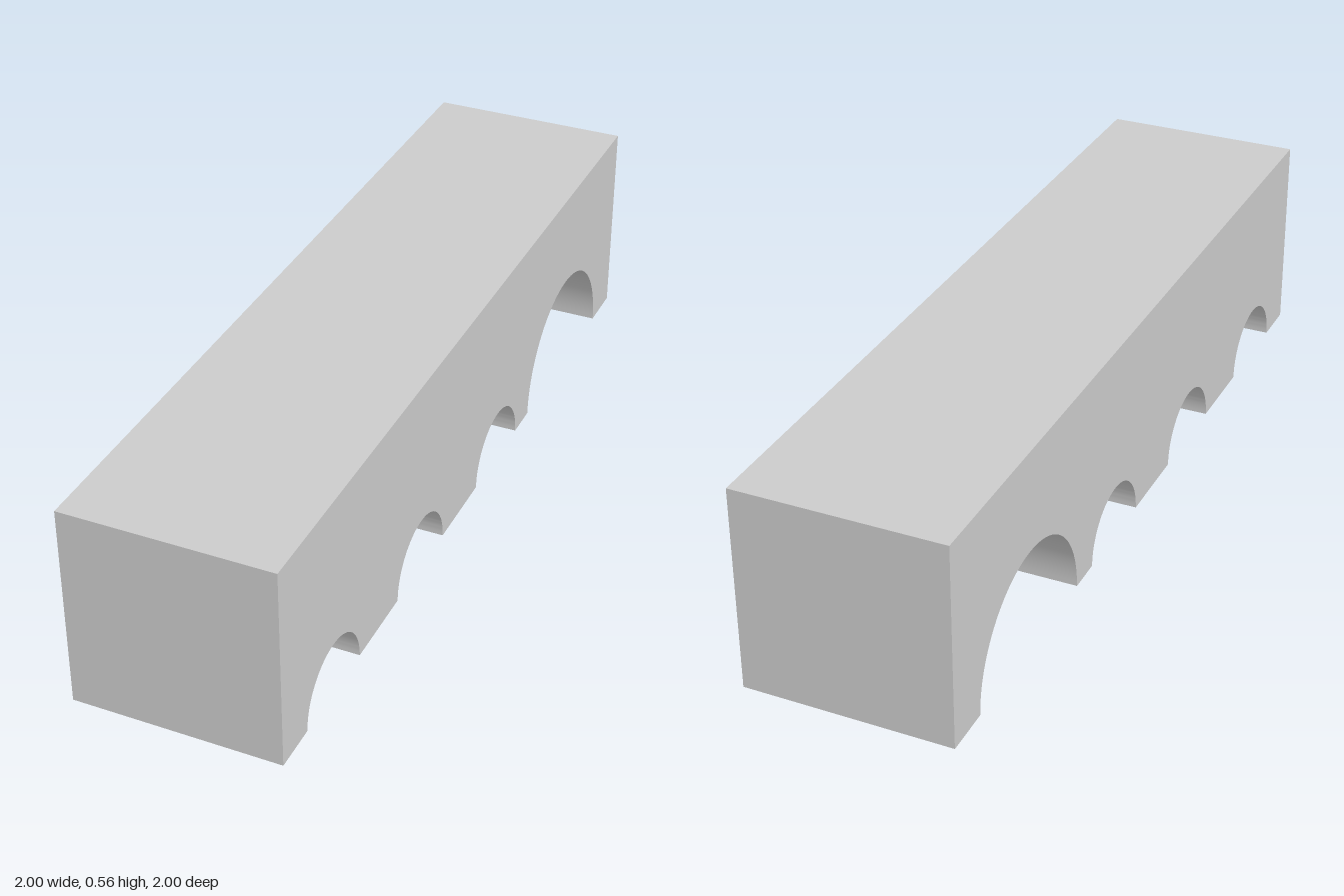
import * as THREE from 'three';
import { toCreasedNormals } from 'three/addons/utils/BufferGeometryUtils.js';

const LENGTH = 2.274, WIDTH = 0.555, HEIGHT = 0.556;

// Arched openings along the block: [centre, radius]
const ARCHES = [[-0.861, 0.148], [-0.334, 0.148], [0.197, 0.148], [0.723, 0.281]];

export function createModel() {
  const model = new THREE.Group();
  model.name = 'archedBridgeBlock';

  const stone = new THREE.MeshStandardMaterial({ color: 0xcccccc });
  stone.name = 'light grey';

  // Side outline with semicircles cut from the bottom edge
  const outline = new THREE.Shape();
  outline.moveTo(-LENGTH / 2, 0);
  for (const [x, r] of ARCHES) {
    outline.lineTo(x - r, 0);
    outline.absarc(x, 0, r, Math.PI, 0, true);
  }
  outline.lineTo(LENGTH / 2, 0);
  outline.lineTo(LENGTH / 2, HEIGHT);
  outline.lineTo(-LENGTH / 2, HEIGHT);
  outline.closePath();

  const geometry = new THREE.ExtrudeGeometry(outline, {
    depth: WIDTH, bevelEnabled: false, curveSegments: 32,
  });
  geometry.translate(0, 0, -WIDTH / 2);

  // Smooth arch vaults, sharp block edges
  const block = new THREE.Mesh(toCreasedNormals(geometry, 0.5), stone);
  block.name = 'archedBlock';
  block.rotation.y = Math.PI / 4; // set diagonally
  model.add(block);

  return model;
}
